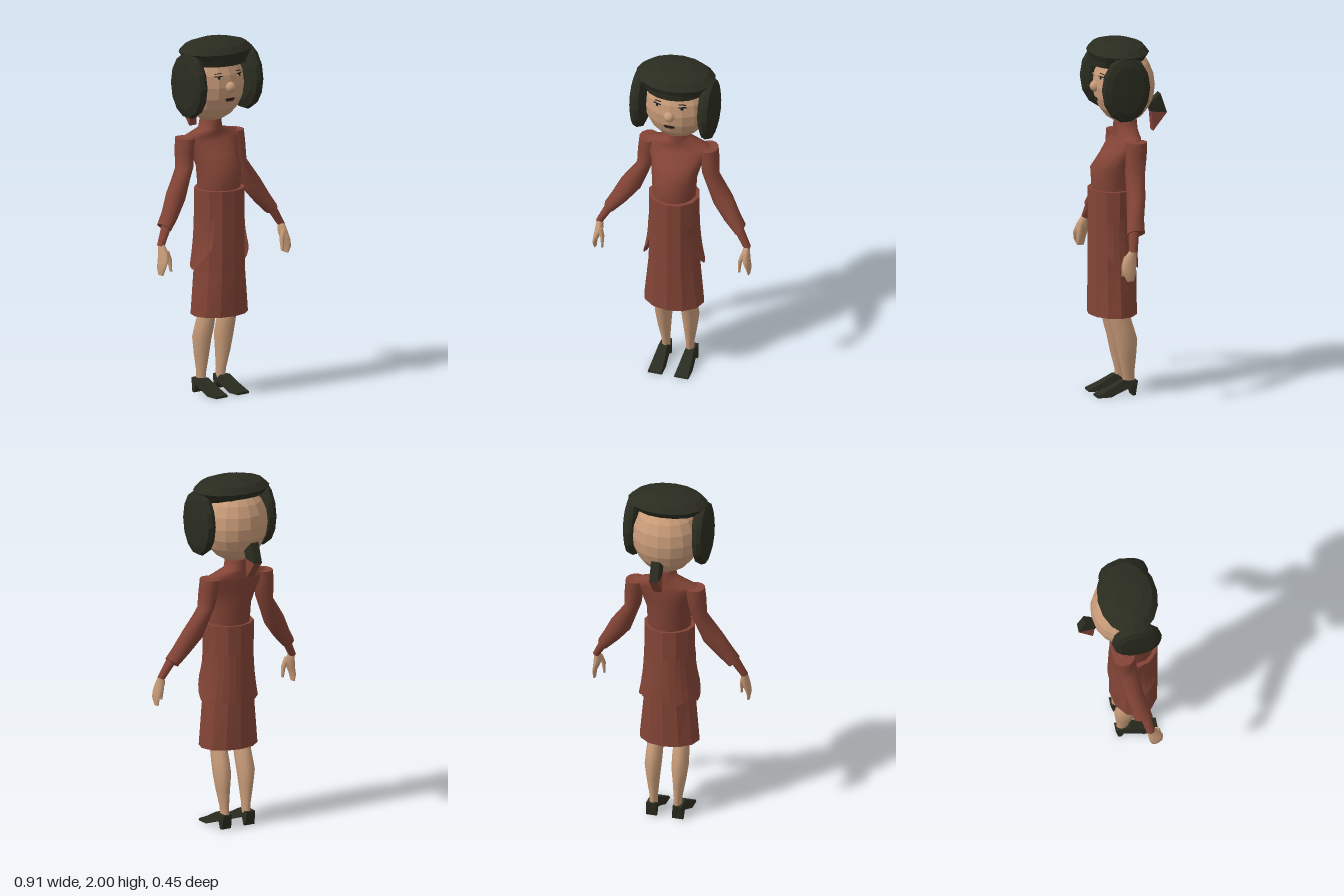
import * as THREE from 'three';

const mat = (name, color, side = THREE.FrontSide) => {
  const m = new THREE.MeshStandardMaterial({ color, side });
  m.name = name;
  return m;
};

// Skin over horizontal rings [cx, cy, cz, rx, rz, tilt]; tilt lifts the ring's +x edge
function loft(rings, seg = 12, { flat = false, capTop = true, capBottom = true } = {}) {
  const rows = rings[0][1] <= rings[rings.length - 1][1] ? rings : [...rings].reverse();
  const pos = [], idx = [];
  const ring = ([cx, cy, cz, rx, rz, tilt = 0]) => {
    for (let j = 0; j < seg; j++) {
      const a = (j / seg) * Math.PI * 2, c = Math.cos(a);
      pos.push(cx + rx * c, cy + tilt * c, cz + rz * Math.sin(a));
    }
  };
  rows.forEach(ring);
  for (let i = 0; i < rows.length - 1; i++)
    for (let j = 0; j < seg; j++) {
      const a = i * seg + j, b = i * seg + (j + 1) % seg;
      idx.push(a, a + seg, b, b, a + seg, b + seg);
    }
  const cap = (r, up) => {
    const start = pos.length / 3;
    ring(r);
    pos.push(r[0], r[1], r[2]);
    for (let j = 0; j < seg; j++) {
      const a = start + j, b = start + (j + 1) % seg, c = start + seg;
      idx.push(...(up ? [a, c, b] : [a, b, c]));
    }
  };
  if (capBottom) cap(rows[0], false);
  if (capTop) cap(rows[rows.length - 1], true);
  let g = new THREE.BufferGeometry();
  g.setAttribute('position', new THREE.Float32BufferAttribute(pos, 3));
  g.setIndex(idx);
  if (flat) g = g.toNonIndexed();
  g.computeVertexNormals();
  return g;
}

// Mirror rings to the other side of the body
const mirror = (rings, s) =>
  rings.map(([cx, cy, cz, rx, rz, t = 0]) => [cx * s, cy, cz, rx, rz, t * s]);

function flatten(g) {
  const f = g.index ? g.toNonIndexed() : g;
  f.computeVertexNormals();
  return f;
}

// Side outline given as [z, y], extruded across x
function sidePrism(points, width) {
  const shape = new THREE.Shape(points.map(([z, y]) => new THREE.Vector2(-z, y)));
  const g = new THREE.ExtrudeGeometry(shape, { depth: width, bevelEnabled: false });
  return g.translate(0, 0, -width / 2).rotateY(Math.PI / 2);
}

export function createModel() {
  const group = new THREE.Group();
  const red = mat('suitRed', 0x834436);
  const redOpen = mat('suitRed', 0x834436, THREE.DoubleSide);
  const skin = mat('skin', 0xc99c79);
  const dark = mat('hairAndShoes', 0x2b2c20);
  const ink = mat('faceLines', 0x1e1915);
  const white = mat('eyeWhite', 0xb8a596);
  const lip = mat('lips', 0x5a3028);
  const slip = mat('slip', 0x705058);
  const add = (name, geo, m) => {
    const mesh = new THREE.Mesh(geo, m);
    mesh.name = name;
    group.add(mesh);
    return mesh;
  };

  // Head and nose
  const H = { y: 1.745, z: 0.02, rx: 0.19, ry: 0.215, rz: 0.17 };
  add('head', flatten(new THREE.SphereGeometry(1, 16, 10).scale(H.rx, H.ry, H.rz).translate(0, H.y, H.z)), skin);
  add('nose', new THREE.SphereGeometry(0.031, 10, 8).translate(0, 1.745, 0.185), skin);

  // Thin face plates laid against the head
  const plate = (name, x, y, w, h, m, lift = 0.002, roll = 0) => {
    const z = H.rz * Math.sqrt(1 - (x / H.rx) ** 2 - ((y - H.y) / H.ry) ** 2);
    const p = add(name, new THREE.BoxGeometry(w, h, 0.006), m);
    const n = new THREE.Vector3(x / H.rx ** 2, (y - H.y) / H.ry ** 2, z / H.rz ** 2).normalize();
    p.position.set(x, y, z + H.z).addScaledVector(n, lift);
    p.lookAt(p.position.clone().add(n));
    p.rotateZ(roll);
  };
  for (const s of [1, -1]) {
    plate('eyeWhite', s * 0.072, 1.803, 0.04, 0.012, white);
    plate('pupil', s * 0.07, 1.804, 0.014, 0.014, ink, 0.004);
    plate('eyelid', s * 0.072, 1.811, 0.046, 0.005, ink, 0.003);
    plate('eyebrow', s * 0.07, 1.826, 0.04, 0.004, ink, 0.002, -s * 0.12);
  }
  plate('mouth', 0, 1.678, 0.06, 0.009, ink);
  plate('lowerLip', 0, 1.669, 0.045, 0.008, lip);

  // Hair: crown with fringe, and a thick lobe over each side
  add('hairCrown', loft([
    [0, 1.87, 0.085, 0.165, 0.122], [0, 1.905, 0.06, 0.2, 0.15], [0, 1.94, 0.055, 0.226, 0.167],
    [0, 1.975, 0.055, 0.185, 0.138], [0, 1.997, 0.055, 0.1, 0.078], [0, 2, 0.055, 0.03, 0.02],
  ], 16, { flat: true }), dark);
  const lobe = [[0, -0.044], [0.72, -0.04], [0.95, -0.022], [1, 0], [0.94, 0.024], [0.7, 0.038], [0, 0.042]]
    .map(([r, y]) => new THREE.Vector2(r, y));
  for (const s of [1, -1]) {
    const g = new THREE.LatheGeometry(lobe, 14).rotateZ(-s * Math.PI / 2);
    add('hairSide', flatten(g.scale(1, 0.19, 0.14).translate(s * 0.197, 1.763, 0.07)), dark);
  }

  // Small tail piece behind the neck, dark above and red below
  add('tailTop', sidePrism([[-0.117, 1.62], [-0.133, 1.58], [-0.223, 1.57], [-0.186, 1.68]], 0.05), dark);
  add('tailTip', sidePrism([[-0.133, 1.58], [-0.143, 1.47], [-0.223, 1.57]], 0.05), red);

  // Bodice and collar
  add('bodice', loft([
    [0, 1.15, 0.085, 0.12, 0.115], [0, 1.28, 0.082, 0.126, 0.126], [0, 1.36, 0.045, 0.145, 0.1],
    [0, 1.43, 0.012, 0.18, 0.072], [0, 1.458, 0.008, 0.185, 0.066], [0, 1.488, 0.01, 0.068, 0.068],
    [0, 1.545, 0.012, 0.052, 0.066],
  ], 16), red);

  // Skirt
  add('skirt', loft([
    [0, 0.455, 0.088, 0.172, 0.135], [0, 0.71, 0.088, 0.147, 0.135],
    [0, 0.95, 0.088, 0.143, 0.135], [0, 1.165, 0.088, 0.145, 0.135],
  ], 12, { flat: true, capBottom: false }), redOpen);

  // Jacket tail flaring round the hips and back
  const tail = new THREE.PlaneGeometry(1, 1, 20, 4);
  const p = tail.attributes.position;
  for (let i = 0; i < p.count; i++) {
    const u = p.getX(i) * 2, v = 0.5 - p.getY(i);
    const a = -Math.PI / 2 + u * 2.3;
    const hem = 0.715 + 0.13 * Math.max(0, Math.abs(u) - 0.75) / 0.25 + 0.02 * Math.cos(u * 8) ** 2;
    p.setXYZ(i, Math.cos(a) * (0.143 + 0.03 * v * v), 1.0 + (hem - 1.0) * v,
      0.088 + Math.sin(a) * (0.136 + 0.006 * v));
  }
  add('jacketTail', flatten(tail), redOpen);

  for (const s of [1, -1]) {
    // Sleeve, cuff and wrist
    add('sleeve', loft(mirror([
      [0.172, 1.452, 0.002, 0.054, 0.062], [0.18, 1.38, 0.006, 0.053, 0.06],
      [0.188, 1.29, 0.015, 0.047, 0.058, -0.01], [0.265, 1.14, 0.035, 0.054, 0.052, 0.025],
      [0.325, 1.05, 0.058, 0.042, 0.05, 0.022], [0.377, 0.985, 0.072, 0.026, 0.052, 0.024],
    ], s)), red);
    add('wristSleeve', loft(mirror([
      [0.362, 1.01, 0.08, 0.022, 0.032, 0.015], [0.427, 0.893, 0.103, 0.018, 0.024, 0.006],
    ], s), 10), red);

    // Hand: palm with fingers, and thumb
    add('hand', loft(mirror([
      [0.424, 0.905, 0.104, 0.016, 0.02], [0.422, 0.86, 0.12, 0.023, 0.036],
      [0.432, 0.815, 0.13, 0.018, 0.042], [0.444, 0.775, 0.13, 0.011, 0.036],
      [0.443, 0.735, 0.125, 0.006, 0.02],
    ], s), 10), skin);
    add('thumb', loft(mirror([
      [0.415, 0.87, 0.135, 0.015, 0.02], [0.397, 0.82, 0.145, 0.011, 0.017],
      [0.395, 0.755, 0.153, 0.006, 0.01],
    ], s), 8), skin);

    // Leg, with the slip over the thigh
    add('leg', loft(mirror([
      [0.069, 0.06, 0.012, 0.022, 0.034], [0.07, 0.12, 0.016, 0.023, 0.035],
      [0.075, 0.22, 0.024, 0.036, 0.052], [0.077, 0.31, 0.03, 0.047, 0.064],
      [0.075, 0.38, 0.05, 0.046, 0.064], [0.074, 0.47, 0.075, 0.042, 0.06],
    ], s)), skin);
    add('slip', loft(mirror([
      [0.074, 0.46, 0.075, 0.047, 0.065], [0.075, 0.72, 0.088, 0.058, 0.085],
    ], s)), slip);

    // Pointed shoe with a slim heel, narrowing toward the ankle
    const shoe = sidePrism([[0.055, 0.085], [0.13, 0.045], [0.205, 0.012], [0.207, 0], [0.13, 0],
      [0.015, 0.045], [0.002, 0], [-0.015, 0], [-0.03, 0.08]], 1);
    const q = shoe.attributes.position;
    for (let i = 0; i < q.count; i++) {
      const w = 0.082 - 0.032 * Math.min(1, q.getY(i) / 0.085) - 0.02 * (q.getZ(i) < 0.02 && q.getY(i) < 0.02);
      q.setX(i, s * 0.076 + q.getX(i) * w);
    }
    shoe.computeVertexNormals();
    add('shoe', shoe, dark);
  }
  return group;
}
